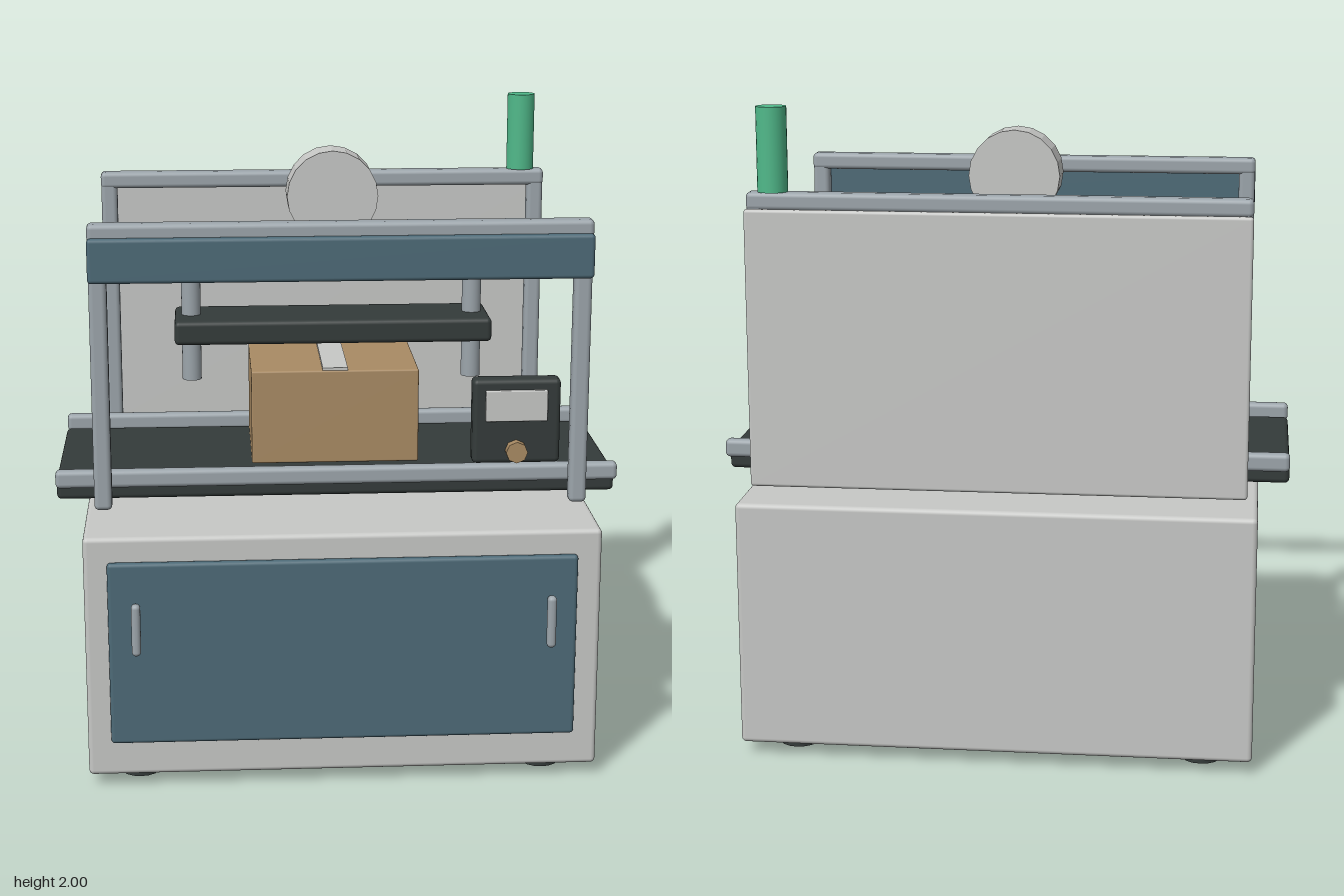
import * as THREE from 'three';
import { RoundedBoxGeometry } from 'three/addons/geometries/RoundedBoxGeometry.js';

const mat = (name, color) => {
  const m = new THREE.MeshStandardMaterial({ color });
  m.name = name;
  return m;
};

export function createModel() {
  const model = new THREE.Group();
  model.name = 'packagingPress';
  const grey = mat('lightGrey', 0xc7c8c6);
  const steel = mat('steel', 0x9ca5ab);
  const blue = mat('slateBlue', 0x4d6a77);
  const dark = mat('charcoal', 0x343b3a);
  const tan = mat('cardboard', 0xa98b64);
  const green = mat('signalGreen', 0x50b98a);

  const add = (name, geometry, material, x, y, z, parent = model) => {
    const mesh = new THREE.Mesh(geometry, material);
    mesh.name = name;
    mesh.position.set(x, y, z);
    parent.add(mesh);
    return mesh;
  };
  // Rounded box given by its limits on each axis
  const box = (name, material, [x0, x1], [y0, y1], [z0, z1], r = 0.012, parent = model) =>
    add(name, new RoundedBoxGeometry(x1 - x0, y1 - y0, z1 - z0, 3, r), material,
      (x0 + x1) / 2, (y0 + y1) / 2, (z0 + z1) / 2, parent);
  // Upright cylinder given by its bottom and top
  const rod = (name, material, r, x, y0, y1, z, sides = 24) =>
    add(name, new THREE.CylinderGeometry(r, r, y1 - y0, sides), material, x, (y0 + y1) / 2, z);

  // Cabinet, door, handles and feet
  box('cabinet', grey, [-0.79, 0.79], [0.04, 0.81], [-0.68, 0.617], 0.015);
  box('door', blue, [-0.718, 0.715], [0.152, 0.735], [0.612, 0.64], 0.012);
  for (const s of [-1, 1]) {
    box('doorHandle', steel, [s * 0.633 - 0.014, s * 0.633 + 0.014], [0.45, 0.615], [0.645, 0.678], 0.013);
    for (const z of [0.48, -0.537]) rod('foot', dark, 0.062, s * 0.633, 0, 0.05, z, 16);
  }

  // Conveyor belt and side rails
  box('conveyorBelt', dark, [-0.885, 0.885], [0.828, 0.9], [-0.33, 0.272], 0.015);
  for (const z of [0.31, -0.374])
    box('guideRail', steel, [-0.885, 0.885], [0.88, 0.937], [z - 0.021, z + 0.021], 0.015);

  // Front and rear frames
  for (const z of [0.479, -0.537]) {
    const frame = new THREE.Group();
    frame.name = z > 0 ? 'frontFrame' : 'rearFrame';
    model.add(frame);
    for (const x of [-0.729, 0.729])
      box('post', steel, [x - 0.027, x + 0.027], [0.862, 1.72], [z - 0.027, z + 0.027], 0.015, frame);
    box('topBar', steel, [-0.757, 0.757], [1.69, 1.745], [z - 0.03, z + 0.03], 0.015, frame);
  }
  box('frontBand', blue, [-0.757, 0.757], [1.57, 1.705], [0.498, 0.53], 0.012);
  box('rearPanel', grey, [-0.757, 0.757], [0.845, 1.698], [-0.601, -0.576], 0.01);

  // Control panel with screen and knob
  box('controlBox', dark, [0.392, 0.659], [1.01, 1.272], [0.504, 0.567], 0.015);
  box('screen', grey, [0.43, 0.618], [1.144, 1.24], [0.56, 0.578], 0.004);
  add('knob', new THREE.CylinderGeometry(0.033, 0.033, 0.04, 8).rotateX(Math.PI / 2), tan, 0.524, 1.052, 0.578);

  // Press head, guide rods and press plate
  box('pressHead', steel, [-0.568, 0.568], [1.51, 1.61], [-0.2, 0.143], 0.015);
  for (const x of [-0.455, 0.455]) rod('guideRod', steel, 0.031, x, 1.142, 1.53, -0.029);
  box('pressPlate', dark, [-0.508, 0.508], [1.28, 1.357], [-0.156, 0.098], 0.015);

  // Flat-faceted drive drum
  const drum = new THREE.CylinderGeometry(0.145, 0.145, 0.13, 20).rotateX(Math.PI / 2).toNonIndexed();
  drum.computeVertexNormals();
  add('driveDrum', drum, grey, 0, 1.745, -0.031);

  // Carton with a strip of tape
  box('carton', tan, [-0.267, 0.267], [0.908, 1.211], [-0.236, 0.173], 0.006);
  add('tape', new THREE.BoxGeometry(0.08, 0.009, 0.405), grey, 0, 1.2155, -0.031);

  // Signal light
  rod('signalLight', green, 0.046, 0.678, 1.745, 2, -0.537);

  return model;
}
